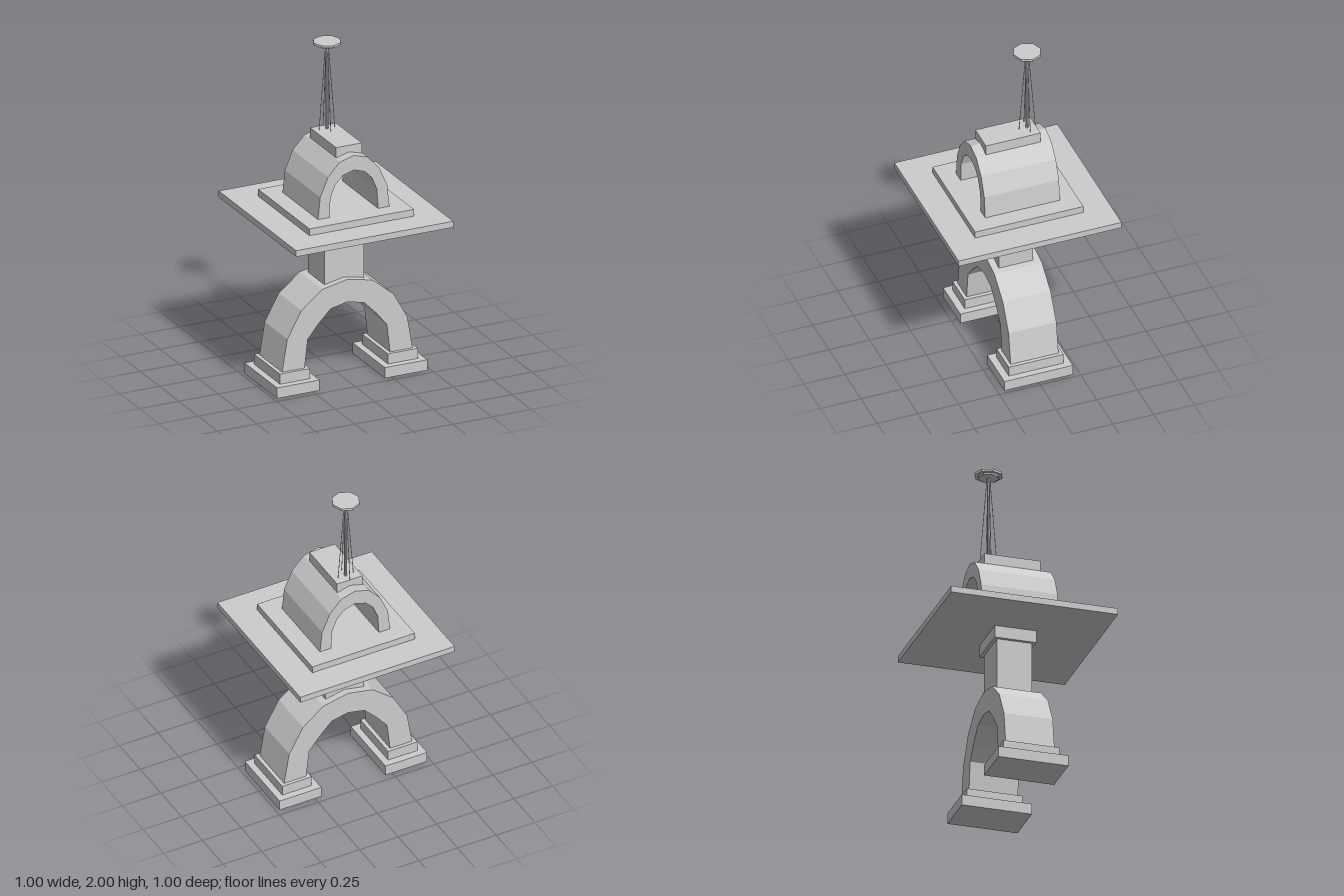
import * as THREE from 'three';

export function createModel() {
  const model = new THREE.Group();
  const material = new THREE.MeshStandardMaterial({ color: 0xcccccc, flatShading: true });

  function add(name, geometry, x = 0, y = 0, z = 0) {
    const mesh = new THREE.Mesh(geometry, material);
    mesh.name = name;
    mesh.position.set(x, y, z);
    model.add(mesh);
    return mesh;
  }

  // Box standing between two heights
  const block = (name, w, d, y0, y1, x = 0) =>
    add(name, new THREE.BoxGeometry(w, y1 - y0, d), x, (y0 + y1) / 2, 0);

  // Faceted arch: half profiles run from the springing up to the crown, then mirror
  function arch(name, outer, inner, depth) {
    const mirror = (half) => [...half, ...half.slice(0, -1).reverse().map(([x, y]) => [-x, y])];
    const points = [...mirror(outer), ...mirror(inner).reverse()];
    const shape = new THREE.Shape(points.map(([x, y]) => new THREE.Vector2(x, y)));
    const geometry = new THREE.ExtrudeGeometry(shape, { depth, bevelEnabled: false });
    add(name, geometry.translate(0, 0, -depth / 2));
  }

  // Stepped feet
  for (const [side, s] of [['left', 1], ['right', -1]]) {
    block(side + 'FootBase', 0.27, 0.42, 0, 0.065, s * 0.343);
    block(side + 'FootStep', 0.19, 0.335, 0.065, 0.127, s * 0.343);
  }

  // Lower arch
  arch('lowerArch',
    [[0.415, 0.127], [0.382, 0.325], [0.292, 0.485], [0.16, 0.592], [0, 0.625]],
    [[0.272, 0.127], [0.252, 0.3], [0.187, 0.38], [0.105, 0.463], [0, 0.485]], 0.293);

  // Column, capital and platform
  block('column', 0.25, 0.21, 0.56, 0.915);
  block('capital', 0.29, 0.25, 0.912, 0.985);
  block('platform', 1, 1, 0.985, 1.023);
  block('platformStep', 0.664, 0.664, 1.023, 1.065);

  // Vaulted upper arch with roof block
  arch('upperArch',
    [[0.227, 1.065], [0.213, 1.2], [0.163, 1.315], [0.088, 1.395], [0, 1.42]],
    [[0.155, 1.065], [0.148, 1.185], [0.117, 1.26], [0.07, 1.308], [0, 1.33]], 0.458);
  block('roofBlock', 0.164, 0.335, 1.385, 1.46);

  // Mast with a two-tier octagonal disc
  const mastZ = -0.117;
  add('mast', new THREE.CylinderGeometry(0.009, 0.009, 0.52, 8), 0, 1.72, mastZ);
  add('disc', new THREE.CylinderGeometry(0.083, 0.083, 0.014, 8), 0, 1.993, mastZ);
  add('discUnderside', new THREE.CylinderGeometry(0.064, 0.06, 0.012, 8), 0, 1.98, mastZ);

  // Four guy wires
  for (let i = 0; i < 4; i++) {
    const a = i * Math.PI / 2;
    const at = (r, y) => new THREE.Vector3(r * Math.cos(a), y, mastZ + r * Math.sin(a));
    const path = new THREE.LineCurve3(at(0.05, 1.455), at(0.009, 1.975));
    add('guyWire' + (i + 1), new THREE.TubeGeometry(path, 1, 0.002, 5));
  }

  return model;
}
